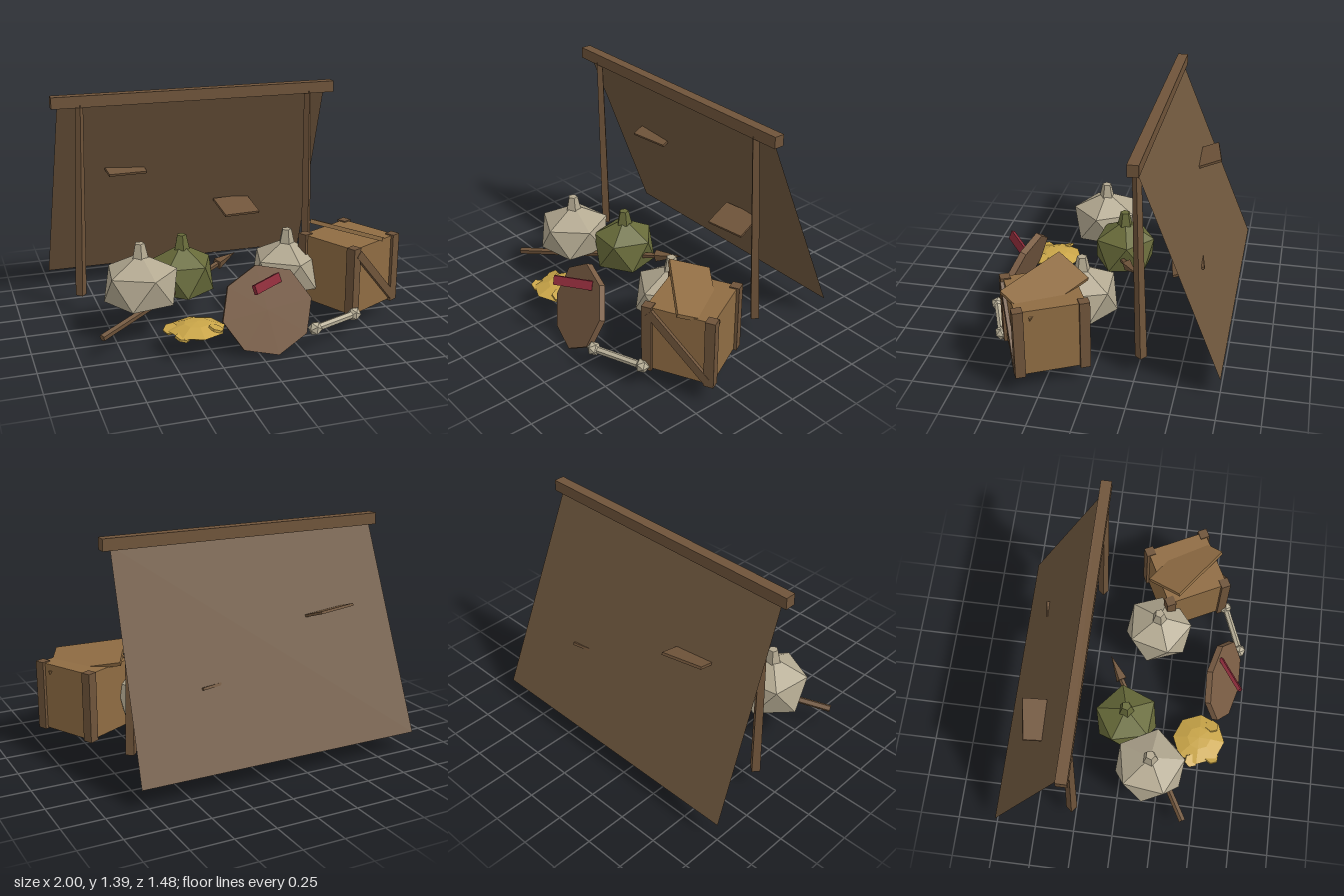
import * as THREE from 'three';

const mat = (name, color) => {
  const m = new THREE.MeshStandardMaterial({ color, flatShading: true });
  m.name = name;
  return m;
};
const V = (x, y, z) => new THREE.Vector3(x, y, z);

export function createModel() {
  const root = new THREE.Group();
  root.name = 'campShelter';
  const wood = mat('dark wood', 0x6f543a);
  const canvas = mat('brown canvas', 0x6e563d);
  canvas.side = THREE.DoubleSide;
  const crateWood = mat('crate wood', 0x8f6c43);
  const shieldWood = mat('shield wood', 0x7a5d44);
  const sackCloth = mat('pale sackcloth', 0xb3a991);
  const greenCloth = mat('green sackcloth', 0x686b3a);
  const bone = mat('bone', 0xbbb29a);
  const gold = mat('gold', 0xc9a548);
  const red = mat('red paint', 0x8a2a38);

  const add = (name, geo, material, pos = V(0, 0, 0), parent = root) => {
    const m = new THREE.Mesh(geo, material);
    m.name = name;
    m.position.copy(pos);
    parent.add(m);
    return m;
  };

  // Tapered rod running from a to b
  const rod = (name, a, b, ra, rb, sides, material) => {
    const d = b.clone().sub(a);
    const m = add(name, new THREE.CylinderGeometry(rb, ra, d.length(), sides), material,
      a.clone().add(b).multiplyScalar(0.5));
    m.quaternion.setFromUnitVectors(V(0, 1, 0), d.normalize());
    return m;
  };

  // Tilted board: back-left top corner, edge to the right, edge to the front
  const board = (name, corner, u, v, thick, material) => {
    const ex = u.clone().normalize();
    const ey = v.clone().cross(u).normalize();
    const ez = ex.clone().cross(ey);
    const centre = corner.clone().addScaledVector(u, 0.5).addScaledVector(v, 0.5)
      .addScaledVector(ey, -thick / 2);
    const m = add(name, new THREE.BoxGeometry(u.length(), thick, v.length()), material, centre);
    m.quaternion.setFromRotationMatrix(new THREE.Matrix4().makeBasis(ex, ey, ez));
  };

  // Lean-to: sheet, ridge beam and posts
  const sheet = new THREE.BufferGeometry();
  sheet.setAttribute('position', new THREE.Float32BufferAttribute([
    -1, 0.13, -0.75, 0.79, 0.13, -0.75, 0.74, 1.36, -0.25, -0.96, 1.36, -0.25], 3));
  sheet.setIndex([0, 1, 2, 0, 2, 3]);
  sheet.computeVertexNormals();
  add('canopySheet', sheet, canvas);
  add('ridgeBeam', new THREE.BoxGeometry(1.79, 0.07, 0.065), wood, V(-0.105, 1.37, -0.243));
  for (const s of [-1, 1]) {
    rod('post', V(-0.105 + s * 0.76, 0.13, -0.275), V(-0.105 + s * 0.727, 1.35, -0.232),
      0.035, 0.025, 4, wood).rotateY(0.1);
  }
  // Loose boards stuck through the sheet
  for (const [x, y] of [[-0.67, 0.935], [0.09, 0.595]]) {
    board('patchBoard', V(x, y, -0.54), V(0.25, -0.01, -0.045), V(0.03, -0.065, 0.18), 0.016, wood);
  }

  // Sacks: flat-bottomed faceted bodies with a tied neck
  const sack = (name, x, z, ringY, r, phase, material) => {
    const g = new THREE.Group();
    g.name = name;
    const low = ringY - 0.18;
    const pos = [0, ringY + 0.11, 0, 0, low - 0.015, 0];
    for (let i = 0; i < 5; i++) {
      const a = phase + i * Math.PI * 0.4, b = a + Math.PI * 0.2;
      pos.push(Math.cos(a) * r, ringY, Math.sin(a) * r, Math.cos(b) * r, low, Math.sin(b) * r);
    }
    const idx = [];
    for (let i = 0; i < 5; i++) {
      const u = 2 + i * 2, l = u + 1, u2 = 2 + ((i + 1) % 5) * 2, l2 = u2 + 1;
      idx.push(0, u2, u, u, u2, l, l, u2, l2, l, l2, 1);
    }
    const geo = new THREE.BufferGeometry();
    geo.setAttribute('position', new THREE.Float32BufferAttribute(pos, 3));
    geo.setIndex(idx);
    geo.computeVertexNormals();
    add('sackBody', geo, material, V(0, 0, 0), g);
    add('sackNeck', new THREE.CylinderGeometry(0.03, 0.05, 0.09, 5), material, V(0, ringY + 0.125, 0), g);
    g.position.set(x, 0, z);
    root.add(g);
  };
  sack('largeSack', -0.585, 0.19, 0.43, 0.218, -1.13, sackCloth);
  sack('greenSack', -0.283, 0.005, 0.39, 0.195, -1.5, greenCloth);
  sack('middleSack', 0.35, 0.14, 0.405, 0.212, -1.0, sackCloth);

  // Crate with corner posts and a diagonal brace
  const crate = new THREE.Group();
  crate.name = 'crate';
  crate.position.set(0.705, 0.34, 0.28);
  crate.rotation.y = 0.47;
  root.add(crate);
  add('crateBody', new THREE.BoxGeometry(0.4, 0.415, 0.4), crateWood, V(0, 0, 0), crate);
  for (const sx of [-1, 1]) for (const sz of [-1, 1]) {
    add('cratePost', new THREE.BoxGeometry(0.06, 0.43, 0.06), wood,
      V(sx * 0.188, 0, sz * 0.188), crate);
  }
  add('crateBrace', new THREE.BoxGeometry(0.5, 0.05, 0.025), wood, V(0, 0, 0.208), crate)
    .rotation.z = -0.8;
  // Lid sunk askew into the crate top
  board('crateLid', V(0.58, 0.58, 0.045), V(0.365, -0.075, 0.245), V(-0.115, 0.08, 0.205),
    0.025, crateWood);

  // Leaning eight-sided shield
  const disc = new THREE.CylinderGeometry(0.265, 0.265, 0.04, 8, 1, false, 0.21);
  disc.rotateX(Math.PI / 2);
  const shield = add('shield', disc, shieldWood, V(0.058, 0.265, 0.6));
  shield.rotation.set(-0.37, -0.18, 0, 'YXZ');
  const bar = add('redBar', new THREE.BoxGeometry(0.24, 0.055, 0.022), red, V(0.043, 0.44, 0.633));
  bar.rotation.set(-0.4, 0.62, 0, 'YXZ');

  // Spear lying under the sacks
  const butt = V(-0.87, 0.147, 0.435), tip = V(0.11, 0.347, -0.145);
  const neck = butt.clone().lerp(tip, 0.85);
  rod('spearShaft', butt, neck, 0.022, 0.018, 5, wood);
  rod('spearHead', neck, tip, 0.038, 0, 4, wood);

  // Bone with knobbly ends
  const ends = [V(0.32, 0.153, 0.695), V(0.62, 0.153, 0.575)];
  rod('boneShaft', ends[0], ends[1], 0.022, 0.022, 6, bone);
  for (const e of ends) add('boneKnob', new THREE.IcosahedronGeometry(0.043, 0), bone, e);

  // Heap of gold with loose coins at the edges
  const heap = [[0, 0.127], [0.12, 0.13], [0.168, 0.155], [0.075, 0.19], [0, 0.197]]
    .map(([x, y]) => new THREE.Vector2(x, y));
  add('goldHeap', new THREE.LatheGeometry(heap, 8), gold, V(-0.328, 0, 0.485));
  for (const [x, y, z, tilt] of [[-0.475, 0.155, 0.45, 0.3], [-0.44, 0.15, 0.58, -0.3],
    [-0.235, 0.172, 0.56, -0.35]]) {
    add('coin', new THREE.CylinderGeometry(0.045, 0.045, 0.014, 6), gold, V(x, y, z))
      .rotation.set(0.2, 0.4, tilt);
  }
  return root;
}
